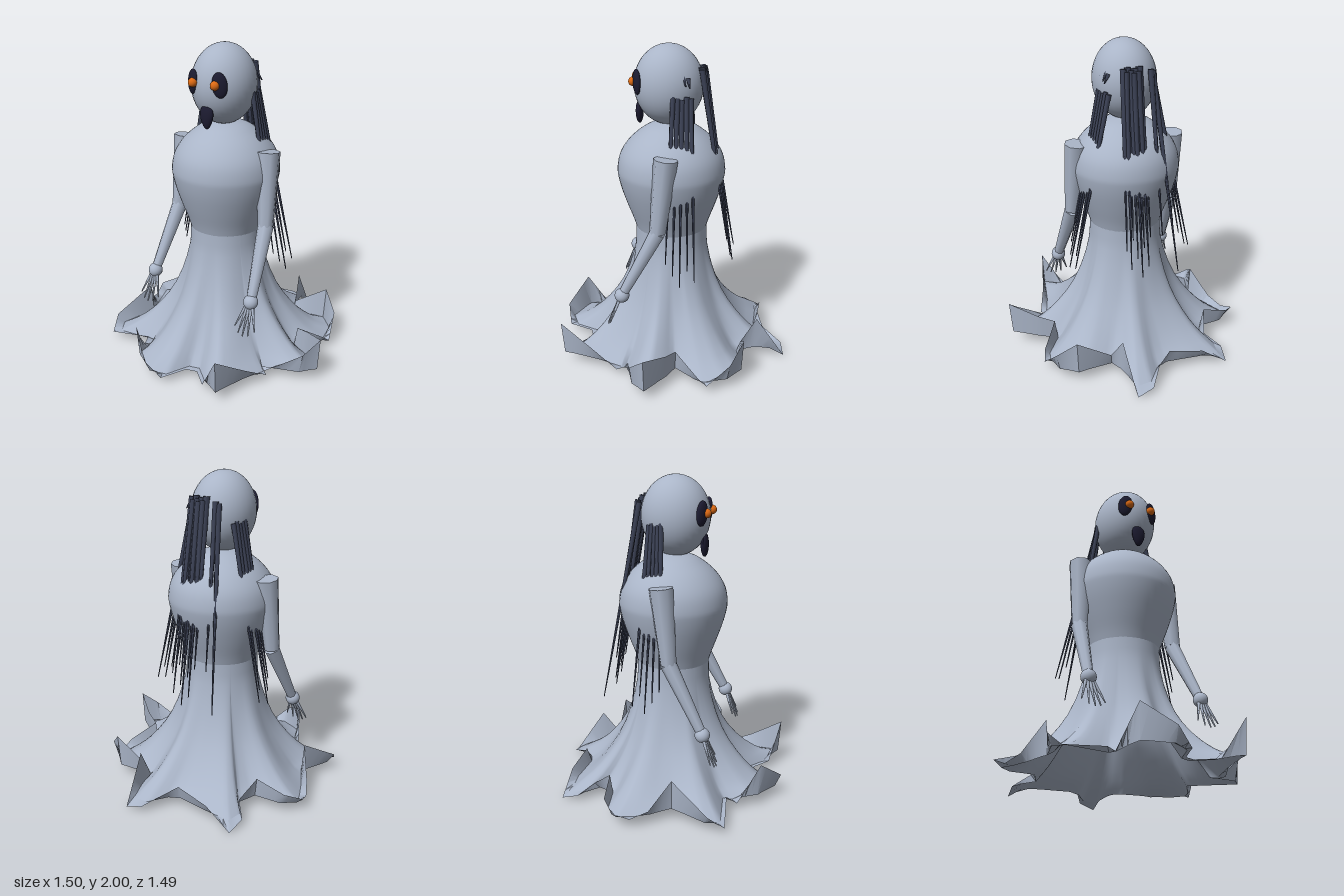
import * as THREE from 'three';
import { toCreasedNormals } from 'three/addons/utils/BufferGeometryUtils.js';

const V = (x, y, z) => new THREE.Vector3(x, y, z);
const CX = -0.025, CZ = 0.01; // body axis

const paleCloth = new THREE.MeshStandardMaterial({ color: 0xaab5c8, side: THREE.DoubleSide });
paleCloth.name = 'paleCloth';
const darkHair = new THREE.MeshStandardMaterial({ color: 0x3c4256 });
darkHair.name = 'darkHair';
const hollowBlack = new THREE.MeshStandardMaterial({ color: 0x1c1b30 });
hollowBlack.name = 'hollowBlack';
const glowOrange = new THREE.MeshStandardMaterial({ color: 0xdc6a14 });
glowOrange.name = 'glowOrange';

function add(parent, name, geometry, material) {
  const mesh = new THREE.Mesh(geometry, material);
  mesh.name = name;
  parent.add(mesh);
  return mesh;
}

// Straight tapered rod between two points
function rod(parent, name, from, to, r0, r1, sides, material) {
  const dir = to.clone().sub(from);
  const mesh = add(parent, name, new THREE.CylinderGeometry(r1, r0, dir.length(), sides), material);
  mesh.position.copy(from).add(to).multiplyScalar(0.5);
  mesh.quaternion.setFromUnitVectors(V(0, 1, 0), dir.normalize());
  return mesh;
}

function ellipsoid(parent, name, center, rx, ry, rz, material) {
  const mesh = add(parent, name, new THREE.SphereGeometry(1, 32, 24), material);
  mesh.position.copy(center);
  mesh.scale.set(rx, ry, rz);
  return mesh;
}

// Surface through a list of closed rings, ordered from top to bottom
function loft(rings) {
  const n = rings[0].length, pos = [], idx = [];
  rings.forEach(r => r.forEach(p => pos.push(p.x, p.y, p.z)));
  for (let j = 0; j < rings.length - 1; j++) {
    for (let i = 0; i < n; i++) {
      const k = (i + 1) % n, a = j * n + i, b = a + n, c = (j + 1) * n + k, d = j * n + k;
      idx.push(a, b, c, a, c, d);
    }
  }
  const g = new THREE.BufferGeometry();
  g.setAttribute('position', new THREE.Float32BufferAttribute(pos, 3));
  g.setIndex(idx);
  g.computeVertexNormals();
  return g;
}

// Ragged hem outline: x, y, z
const HEM = [
  -0.12, 0.15, 0.74, -0.02, 0.05, 0.71, 0.05, 0.05, 0.55, 0.12, 0.05, 0.53, 0.23, 0.05, 0.62,
  0.37, 0.29, 0.68, 0.43, 0.14, 0.46, 0.49, 0.05, 0.31, 0.45, 0.04, 0.27, 0.68, 0.2, 0.2,
  0.75, 0.29, 0.11, 0.59, 0.23, -0.01, 0.49, 0.2, -0.06, 0.6, 0.1, -0.2, 0.62, 0.05, -0.26,
  0.58, 0.18, -0.4, 0.47, 0.29, -0.48, 0.245, 0.14, -0.46, 0.205, 0.29, -0.56, 0.177, 0.01, -0.745,
  0.07, 0.04, -0.73, -0.02, 0.1, -0.61, -0.1, 0.16, -0.575, -0.32, 0.12, -0.595, -0.49, 0, -0.6,
  -0.51, 0.04, -0.49, -0.43, 0.1, -0.4, -0.48, 0.2, -0.28, -0.66, 0.14, -0.257, -0.75, 0.1, -0.18,
  -0.72, 0.06, -0.08, -0.67, 0.1, 0.02, -0.58, 0.27, 0.14, -0.68, 0.12, 0.38, -0.64, 0.04, 0.475,
  -0.36, 0.08, 0.435, -0.35, 0.04, 0.5, -0.28, 0.285, 0.63];

function buildSkirt(parent) {
  const SUB = 4, hem = [];
  const point = i => V().fromArray(HEM, (i * 3) % HEM.length);
  for (let i = 0; i < HEM.length / 3; i++)
    for (let s = 0; s < SUB; s++) hem.push(point(i).lerp(point(i + 1), s / SUB));
  const n = hem.length;

  // Crease on the floor, from which the hem turns up
  const crease = hem.map(p => {
    const f = 0.92 + 0.2 * p.y;
    return V(p.x * f, 0.045 + 0.03 * Math.min(1, p.y * 4), p.z * f);
  });
  // Softened crease guides the upper folds
  const soft = crease.map((_, i) => {
    const sum = V(0, 0, 0);
    for (let d = -4; d <= 4; d++) sum.add(crease[(i + d + n) % n]);
    return sum.multiplyScalar(1 / 9);
  });
  const waist = hem.map(p => {
    const a = Math.atan2(p.x, p.z);
    return V(CX + 0.226 * Math.sin(a), 0, CZ + 0.226 * Math.cos(a));
  });
  // height, spread from waist to crease
  const levels = [[0.85, 0], [0.77, 0.005], [0.7, 0.02], [0.6, 0.075], [0.5, 0.15], [0.4, 0.25],
    [0.32, 0.36], [0.25, 0.48], [0.19, 0.6], [0.14, 0.72], [0.1, 0.84]];
  const rings = levels.map(([y, k]) => waist.map((w, i) => {
    const target = soft[i].clone().lerp(crease[i], k * k);
    const p = w.clone().lerp(target, k);
    p.y = y;
    return p;
  }));
  rings.push(crease);
  add(parent, 'skirt', loft(rings), paleCloth);
  add(parent, 'hemFlaps', toCreasedNormals(loft([crease, hem]), 0.6), paleCloth);
}

function buildTorso(parent) {
  const profile = [[0.226, 0.84], [0.245, 0.9], [0.282, 1.0], [0.315, 1.1], [0.334, 1.18], [0.338, 1.23],
    [0.326, 1.3], [0.298, 1.36], [0.25, 1.42], [0.19, 1.47], [0.12, 1.51], [0, 1.54]];
  const curve = new THREE.SplineCurve(profile.map(p => new THREE.Vector2(...p)));
  const pts = curve.getPoints(36);
  pts[36].x = 0;
  const torso = add(parent, 'torso', new THREE.LatheGeometry(pts, 48), paleCloth);
  torso.position.set(CX, 0, CZ);
}

function buildHead(parent) {
  ellipsoid(parent, 'head', V(CX, 1.755, 0.025), 0.195, 0.245, 0.213, paleCloth);
  for (const s of [-1, 1]) {
    const socket = ellipsoid(parent, 'eyeSocket', V(CX + s * 0.097, 1.785, 0.207), 0.046, 0.076, 0.022, hollowBlack);
    socket.rotation.set(0, s * 0.45, s * 0.12);
    ellipsoid(parent, 'eye', V(CX + s * 0.08, 1.785, 0.232), 0.028, 0.028, 0.028, glowOrange);
  }
  // Teardrop mouth, narrowing downward
  const g = new THREE.SphereGeometry(1, 24, 20), p = g.attributes.position;
  for (let i = 0; i < p.count; i++) p.setX(i, p.getX(i) * (1 + 0.3 * p.getY(i)));
  g.computeVertexNormals();
  const mouth = add(parent, 'mouth', g, hollowBlack);
  mouth.position.set(CX, 1.583, 0.205);
  mouth.scale.set(0.044, 0.074, 0.024);
}

function buildArm(parent, s) {
  const arm = new THREE.Group();
  arm.name = s > 0 ? 'leftArm' : 'rightArm';
  const at = (x, y, z) => V(CX + s * x, y, z);
  const shoulder = at(0.315, 1.38, 0.015), elbow = at(0.335, 0.92, 0.065), hand = at(0.378, 0.505, 0.285);
  rod(arm, 'upperArm', shoulder, elbow, 0.074, 0.05, 8, paleCloth);
  rod(arm, 'forearm', elbow, hand, 0.05, 0.03, 8, paleCloth);
  ellipsoid(arm, 'hand', hand, 0.046, 0.046, 0.046, paleCloth);
  for (let i = -2; i <= 2; i++) {
    const tip = at(0.378 + i * 0.036, 0.31 + 0.012 * i * i * 0.8, 0.375 - 0.006 * i * i);
    rod(arm, 'finger', at(0.378 + i * 0.012, 0.48, 0.3), tip, 0.011, 0.004, 6, paleCloth);
  }
  parent.add(arm);
}

function buildHair(parent) {
  const hair = new THREE.Group();
  hair.name = 'hair';
  const strand = (from, to, r = 0.017) => rod(hair, 'strand', from, to, r, 0.003, 6, darkHair);
  // Back lock, passing behind the shoulders
  for (let i = 0; i < 8; i++) {
    const t = i / 7, j = (i * 3 % 5) / 4;
    strand(V(-0.04 + 0.1 * t, 1.87 - 0.03 * j, -0.175 - 0.02 * j),
      V(-0.06 + 0.16 * t, 0.85 - 0.24 * j, -0.34 - 0.05 * j), 0.021);
  }
  strand(V(-0.11, 1.85, -0.185), V(-0.14, 0.85, -0.335), 0.019);
  strand(V(-0.125, 1.84, -0.175), V(-0.225, 0.61, -0.395), 0.019);
  // Side locks
  for (let i = 0; i < 5; i++) {
    const j = (i * 2 % 5) / 4;
    strand(V(0.15 - 0.006 * i, 1.72 - 0.02 * j, -0.015 - 0.026 * i),
      V(0.34 + 0.04 * j, 0.72 - 0.13 * j, 0.015 - 0.045 * i));
    strand(V(-0.2 + 0.006 * i, 1.73 - 0.02 * j, -0.02 - 0.02 * i),
      V(-0.37 - 0.05 * j, 0.74 - 0.13 * j, 0.01 - 0.04 * i));
  }
  // Short tufts high on the side
  for (const [y, z] of [[1.85, -0.03], [1.83, -0.075], [1.82, -0.1]])
    strand(V(0.12, y, z), V(0.152, y - 0.05, z - 0.015), 0.014);
  parent.add(hair);
}

export function createModel() {
  const group = new THREE.Group();
  group.name = 'ghost';
  buildSkirt(group);
  buildTorso(group);
  buildHead(group);
  buildArm(group, 1);
  buildArm(group, -1);
  buildHair(group);
  return group;
}
